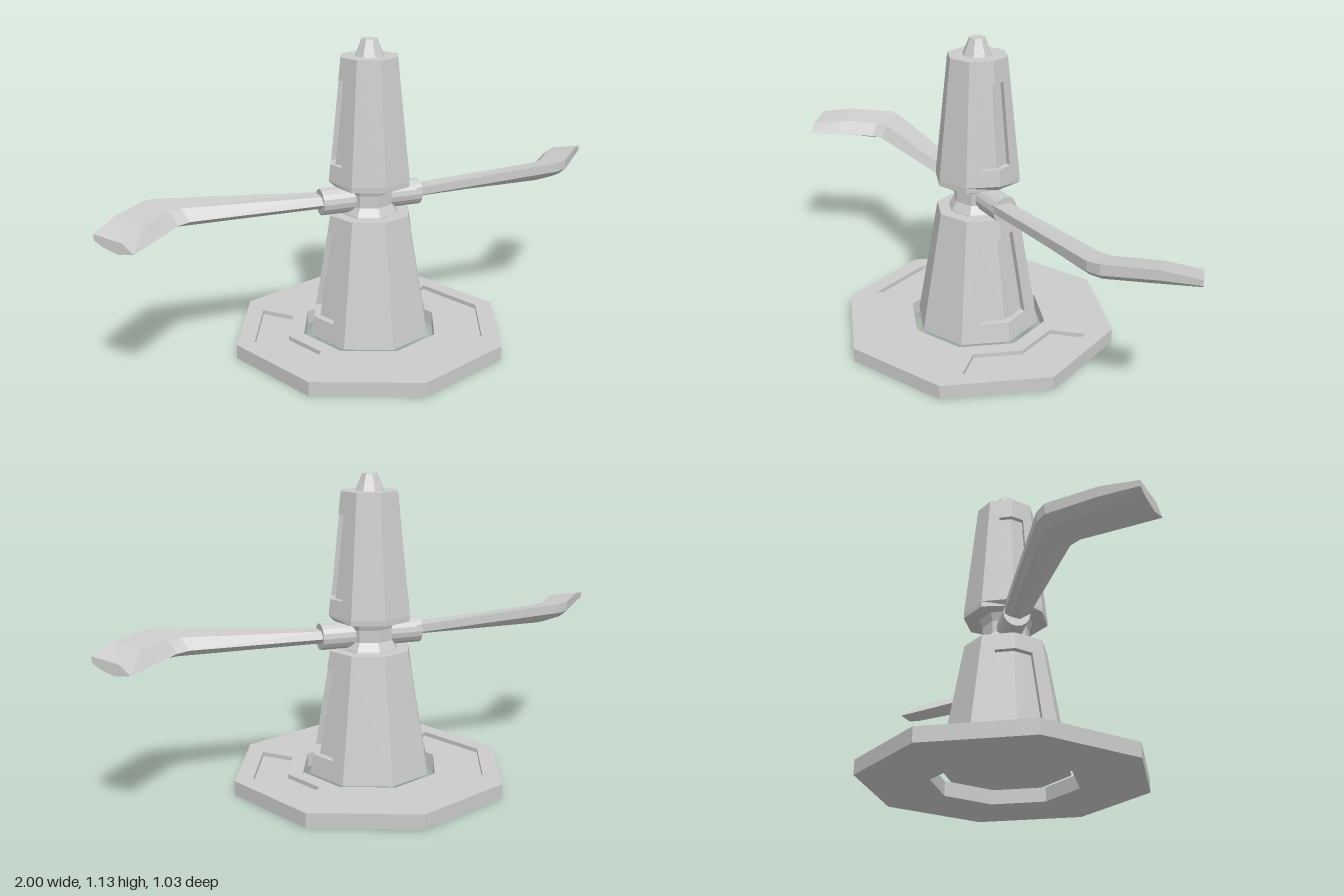
import * as THREE from 'three';

const material = new THREE.MeshStandardMaterial({ color: 0xcccccc, flatShading: true });

function add(parent, geometry, name) {
  const mesh = new THREE.Mesh(geometry, material);
  mesh.name = name;
  parent.add(mesh);
  return mesh;
}

// Collects quads (corners counter-clockwise from outside) into a flat-shaded geometry
function quadBuilder() {
  const pos = [];
  return {
    quad(a, b, c, d, flip = false) {
      const order = flip ? [a, c, b, a, d, c] : [a, b, c, a, c, d];
      order.forEach((p) => pos.push(...p));
    },
    tri(a, b, c) { pos.push(...a, ...b, ...c); },
    build() {
      const g = new THREE.BufferGeometry();
      g.setAttribute('position', new THREE.Float32BufferAttribute(pos, 3));
      g.computeVertexNormals();
      return g;
    },
  };
}

// Octagon ring with corners on the axes; sideR overrides the +x and -x corners
function ring(r, y, sideR = r) {
  return Array.from({ length: 8 }, (_, i) => {
    const a = (i * Math.PI) / 4;
    const q = i % 4 === 0 ? sideR : r;
    return [q * Math.cos(a), y, q * Math.sin(a)];
  });
}

// Tapered octagonal tower with a sunken panel wrapped round each side corner
function tower(r0, y0, r1, y1, panel, bevelY) {
  const b = quadBuilder();
  const low = ring(r0, y0), high = ring(r1, y1);
  for (const i of [1, 2, 5, 6]) b.quad(low[i], high[i], high[(i + 1) % 8], low[(i + 1) % 8]);
  const slope = Math.tan(Math.PI / 8);
  const radius = (y) => r0 + ((r1 - r0) * (y - y0)) / (y1 - y0);
  for (const sx of [1, -1]) for (const sz of [1, -1]) {
    const p = (z, y, inset = 0) => [sx * (radius(y) - z * slope - inset), y, sz * z];
    const outline = (inset) => [
      p(0, panel.y0, inset), p(panel.z0, panel.y0, inset),
      p(panel.z1, panel.y1, inset), p(0, panel.y1, inset)];
    const outer = [p(0, y0), p(r0 * Math.SQRT1_2, y0), p(r1 * Math.SQRT1_2, y1), p(0, y1)];
    const rim = outline(0), floor = outline(panel.depth);
    const flip = sx * sz > 0;
    for (let i = 0; i < 3; i++) {
      b.quad(outer[i], outer[i + 1], rim[i + 1], rim[i], !flip ? false : true);
      b.quad(rim[i], rim[i + 1], floor[i + 1], floor[i], flip);
    }
    b.quad(...floor, flip);
  }
  // small undercut below the side corners
  let bottom = low;
  if (bevelY !== undefined) {
    bottom = ring(r0, bevelY, r0 - 0.02);
    for (let i = 0; i < 8; i++) {
      const j = (i + 1) % 8;
      b.quad(bottom[i], low[i], low[j], bottom[j]);
    }
  }
  for (let i = 0; i < 8; i++) {
    const j = (i + 1) % 8;
    b.tri([0, y1, 0], high[j], high[i]);
    b.tri([0, bottom[0][1], 0], bottom[i], bottom[j]);
  }
  return b.build();
}

// Base plate layer: octagon with a central opening and optional side pockets
function plate(depth, y, pockets) {
  const points = (list) => list.map(([x, z]) => new THREE.Vector2(x, z));
  const octagon = (r) => points(ring(r, 0).map((p) => [p[0], p[2]]));
  const shape = new THREE.Shape(octagon(0.515));
  shape.holes.push(new THREE.Path(octagon(0.26)));
  if (pockets) for (const s of [1, -1]) {
    shape.holes.push(new THREE.Path(points([
      [0.34 * s, -0.26], [0.447 * s, 0], [0.34 * s, 0.26],
      [0.25 * s, 0.165], [0.318 * s, 0], [0.25 * s, -0.165]])));
  }
  const g = new THREE.ExtrudeGeometry(shape, { depth, bevelEnabled: false });
  g.rotateX(-Math.PI / 2);
  g.translate(0, y, 0);
  return g;
}

// Swept blade: front edge, back edge, then heights of the section
function blade() {
  const stations = [
    // fx, fz, bx, bz, front top, front bottom, shoulder, back, belly
    [0.17, 0.044, 0.17, -0.044, 0.578, 0.55, 0.578, 0.555, 0.533],
    [0.75, 0.06, 0.67, -0.065, 0.617, 0.583, 0.602, 0.562, 0.534],
    [0.795, 0.045, 0.715, -0.085, 0.622, 0.585, 0.602, 0.56, 0.534],
    [0.915, -0.085, 0.815, -0.195, 0.622, 0.588, 0.602, 0.556, 0.536],
    [1.0, -0.182, 0.895, -0.282, 0.602, 0.582, 0.585, 0.553, 0.545],
  ];
  const sections = stations.map(([fx, fz, bx, bz, ft, fb, sh, bk, be]) => {
    const at = (t, y) => [fx + (bx - fx) * t, y, fz + (bz - fz) * t];
    return [at(0, ft), at(0.72, sh), at(1, bk), at(0.6, be), at(0.2, (fb + be) / 2), at(0, fb)];
  });
  const b = quadBuilder();
  const n = sections[0].length;
  for (let s = 0; s < sections.length - 1; s++) {
    for (let i = 0; i < n; i++) {
      const j = (i + 1) % n;
      b.quad(sections[s][i], sections[s + 1][i], sections[s + 1][j], sections[s][j]);
    }
  }
  const root = sections[0], tip = sections[sections.length - 1];
  for (let i = 1; i < n - 1; i++) {
    b.tri(root[0], root[i], root[i + 1]);
    b.tri(tip[0], tip[i + 1], tip[i]);
  }
  return b.build();
}

export function createModel() {
  const model = new THREE.Group();
  model.name = 'rotorTower';

  // Base plate
  const base = new THREE.Group();
  base.name = 'base';
  add(base, plate(0.037, 0, false), 'baseLower');
  add(base, plate(0.016, 0.037, true), 'baseUpper');
  model.add(base);

  // Tower halves with side panels
  add(model, tower(0.232, 0.045, 0.152, 0.5,
    { y0: 0.117, y1: 0.435, z0: 0.097, z1: 0.066, depth: 0.025 }), 'lowerTower');
  add(model, tower(0.156, 0.63, 0.108, 1.07,
    { y0: 0.69, y1: 0.99, z0: 0.057, z1: 0.045, depth: 0.02 }, 0.61), 'upperTower');

  // Waisted neck and top cap
  const neck = [[0.11, 0.49], [0.105, 0.505], [0.087, 0.535], [0.087, 0.58], [0.1, 0.615]];
  add(model, new THREE.LatheGeometry(neck.map(([r, y]) => new THREE.Vector2(r, y)), 8), 'neck');
  const cap = add(model, new THREE.CylinderGeometry(0.029, 0.054, 0.06, 8), 'topCap');
  cap.position.y = 1.1;

  // Two arms, half a turn apart
  const hubGeometry = new THREE.CylinderGeometry(0.048, 0.048, 0.13, 16);
  hubGeometry.rotateZ(Math.PI / 2);
  hubGeometry.translate(0.125, 0.555, 0);
  const bladeGeometry = blade();
  ['left', 'right'].forEach((side, i) => {
    const arm = new THREE.Group();
    arm.name = side + 'Arm';
    add(arm, hubGeometry, side + 'Hub');
    add(arm, bladeGeometry, side + 'Blade');
    arm.rotation.y = i * Math.PI;
    model.add(arm);
  });
  return model;
}
